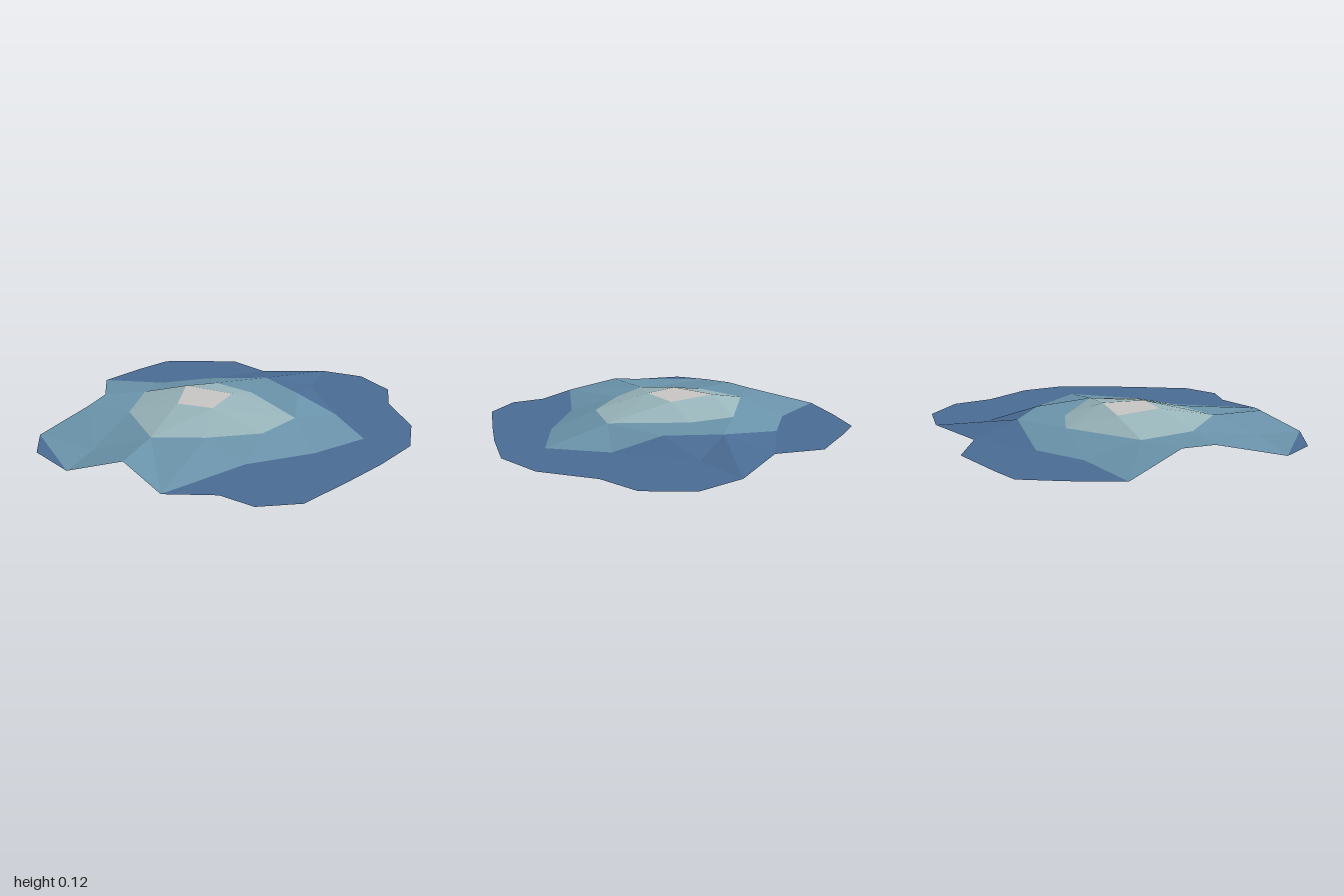
import * as THREE from 'three';

const flatMaterial = (name, color) => new THREE.MeshStandardMaterial({
  name, color, flatShading: true, side: THREE.DoubleSide,
});

// Terrace heights
const LOW = 0, MID = 0.06, TOP = 0.125;

// Facets from corner lists [x, z, y]; each polygon is triangulated in plan, facing up
function facets(name, material, polygons) {
  const positions = [];
  for (const poly of polygons) {
    const plan = poly.map(([x, z]) => new THREE.Vector2(x, z));
    for (const tri of THREE.ShapeUtils.triangulateShape(plan, [])) {
      const [a, b, c] = tri.map((i) => plan[i]);
      const area = (b.x - a.x) * (c.y - a.y) - (b.y - a.y) * (c.x - a.x);
      if (area > 0) tri.reverse();
      for (const i of tri) positions.push(poly[i][0], poly[i][2], poly[i][1]);
    }
  }
  const geometry = new THREE.BufferGeometry();
  geometry.setAttribute('position', new THREE.Float32BufferAttribute(positions, 3));
  geometry.computeVertexNormals();
  const mesh = new THREE.Mesh(geometry, material);
  mesh.name = name;
  return mesh;
}

const at = (y, ...points) => points.map(([x, z]) => [x, z, y]);

export function createModel() {
  const group = new THREE.Group();
  group.name = 'terracedPatch';

  const deepBlue = flatMaterial('deepBlue', 0x4a6c94);
  const midBlue = flatMaterial('midBlue', 0x6a93aa);
  const paleBlue = flatMaterial('paleBlue', 0x98b5bb);
  const grey = flatMaterial('grey', 0xc8c6c4);

  // Corners of the summit and of the pale slope around it, clockwise from the left
  const [s0, s1, s2, s3] = at(TOP, [-0.34, -0.08], [-0.04, -0.06], [-0.06, 0.18], [-0.27, 0.19]);
  const [p0, p1, p2, p3, p4, p5, p6, p7] = at(MID, [-0.6, -0.05], [-0.26, -0.34], [0, -0.27],
    [0.36, 0], [0.26, 0.26], [0, 0.42], [-0.27, 0.52], [-0.54, 0.26]);

  // Raised corners of the middle terrace
  const [back, backRight, frontEdge, leftA, leftB] = at(MID,
    [0, -0.54], [0.26, -0.36], [-0.27, 0.82], [-0.8, 0.08], [-0.8, 0.26]);

  // Ground-level corners of the middle terrace
  const [m0, m1, m2, m3, m4, m5, m6] = at(LOW, [-1, -0.27], [-0.64, -0.36], [-0.4, -0.54],
    [0.52, -0.27], [0.75, 0], [0.55, 0.27], [0.26, 0.52]);
  const [f0, f1, f2, f3] = at(LOW, [0, 0.95], [-0.54, 0.91], [-0.91, 0.6], [-0.54, 0.66]);

  // Ground-level corners of the outer rim
  const [notch, rimBack, inner] = at(LOW, [-0.11, -0.8], [0.26, -0.95], [0.26, -0.65]);
  const leftRim = at(LOW, [-0.9, -0.53], [-0.8, -0.74], [-0.66, -0.8], [-0.36, -0.91]);
  const rightRim = at(LOW, [0.52, -0.94], [0.73, -0.77], [0.78, -0.54], [0.96, -0.27], [1, 0],
    [0.9, 0.27], [0.78, 0.53], [0.65, 0.79], [0.45, 0.9], [0.26, 0.86]);
  const [frontLeft] = at(LOW, [-0.8, 0.79]);

  group.add(
    facets('summit', grey, [[s0, s1, s2, s3]]),

    facets('upperSlope', paleBlue, [
      [p0, p1, s0], [p1, s1, s0], [p1, p2, s1], [p2, p3, s1], [p3, s2, s1], [p3, p4, s2],
      [p4, p5, s2], [p5, p6, s2], [p6, s3, s2], [p6, p7, s3], [p7, s0, s3], [p7, p0, s0],
    ]),

    facets('middleTerrace', midBlue, [
      // Left and back
      [m0, p0, leftA], [m0, m1, p0], [m1, p1, p0], [m1, m2, p1], [m2, back, p1],
      [back, p2, p1], [back, backRight, p2], [leftA, p0, p7, leftB],
      // Right
      [p2, backRight, p3], [backRight, m3, p3], [m3, m4, p3], [m4, m5, p3],
      [m5, p4, p3], [m5, m6, p4], [m6, p5, p4],
      // Front
      [m6, f0, p5], [f0, p6, p5], [f0, frontEdge, p6], [frontEdge, f3, p6],
      [frontEdge, f1, f3], [f1, f2, f3], [f2, leftB, f3], [leftB, p7, f3], [p7, p6, f3],
    ]),

    facets('outerRim', deepBlue, [
      [m0, ...leftRim, notch, m2, m1],
      [m2, notch, back], [notch, rimBack, back], [rimBack, inner, back],
      [inner, backRight, back], [inner, m3, backRight],
      [rimBack, ...rightRim, f0, m6, m5, m4, m3, inner],
      [f2, f1, frontLeft],
    ]),
  );
  return group;
}
